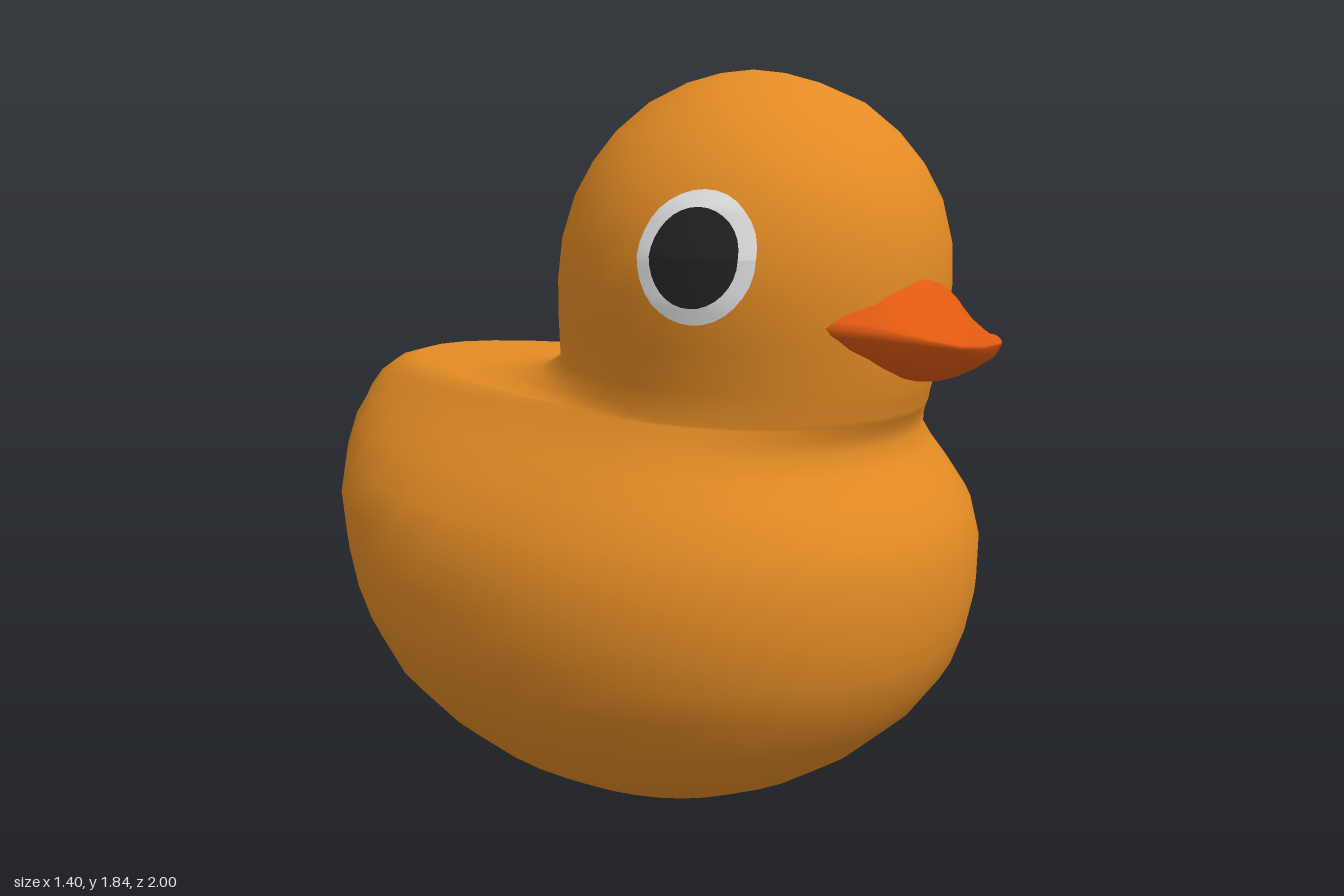
import * as THREE from 'three';

const mat = (name, color, side = THREE.FrontSide) => {
  const m = new THREE.MeshStandardMaterial({ color, side });
  m.name = name;
  return m;
};

// Skin a list of closed cross-sections, each an array of [x, y, z]
function loft(rings) {
  const n = rings[0].length, index = [];
  for (let i = 0; i < rings.length - 1; i++) {
    for (let j = 0; j < n; j++) {
      const k = (j + 1) % n, a = i * n + j, b = i * n + k;
      index.push(a, b, b + n, a, b + n, a + n);
    }
  }
  const g = new THREE.BufferGeometry();
  g.setAttribute('position', new THREE.Float32BufferAttribute(rings.flat(2), 3));
  g.setIndex(index);
  g.computeVertexNormals();
  return g;
}

// Level sections: y, half width, z front, z back, z of widest point, dip at the rear
const BODY = [
  [0.005, 0, -0.03, -0.03, -0.03], [0.02, 0.17, 0.2, -0.22, -0.02],
  [0.06, 0.29, 0.37, -0.4, -0.01], [0.13, 0.41, 0.51, -0.555, 0],
  [0.21, 0.505, 0.63, -0.66, 0], [0.32, 0.605, 0.75, -0.765, 0.01],
  [0.43, 0.662, 0.83, -0.84, 0.03], [0.52, 0.69, 0.86, -0.885, 0.05],
  [0.62, 0.7, 0.88, -0.93, 0.07], [0.73, 0.692, 0.88, -0.97, 0.1],
  [0.83, 0.65, 0.855, -0.99, 0.14], [0.91, 0.58, 0.795, -1, 0.2],
  [0.965, 0.52, 0.755, -0.985, 0.24], [1.01, 0.47, 0.735, -0.955, 0.27],
  [1.045, 0.44, 0.745, -0.9, 0.29],
];
const NECK = [
  [1.07, 0.42, 0.758, -0.81, 0.3], [1.075, 0.417, 0.762, -0.6, 0.3, 0.035],
  [1.085, 0.415, 0.765, -0.4, 0.31, 0.02], [1.105, 0.412, 0.77, -0.26, 0.31],
];
const HEAD = [
  [1.15, 0.41, 0.785, -0.17, 0.32], [1.25, 0.43, 0.8, -0.16, 0.32],
  [1.35, 0.446, 0.81, -0.15, 0.33], [1.45, 0.445, 0.805, -0.13, 0.33],
  [1.55, 0.418, 0.78, -0.095, 0.33], [1.63, 0.375, 0.735, -0.05, 0.33],
  [1.7, 0.32, 0.675, 0.005, 0.33], [1.765, 0.24, 0.595, 0.08, 0.33],
  [1.81, 0.15, 0.485, 0.17, 0.325], [1.832, 0.075, 0.4, 0.25, 0.325],
  [1.84, 0, 0.325, 0.325, 0.325],
];

function levelRing([y, w, front, back, wide, dip = 0]) {
  return Array.from({ length: 36 }, (_, j) => {
    const a = (j / 36) * Math.PI * 2, c = Math.cos(a);
    const z = wide + c * (c > 0 ? front - wide : wide - back);
    return [w * Math.sin(a), y - dip * Math.max(0, -c) ** 3, z];
  });
}

// Half width of the head at a given height and depth
function headX(y, z) {
  const i = HEAD.findIndex((r) => r[0] > y);
  const p = HEAD[i - 1], q = HEAD[i], t = (y - p[0]) / (q[0] - p[0]);
  const [, w, front, back, wide] = p.map((v, k) => v + (q[k] - v) * t);
  const d = (z - wide) / (z > wide ? front - wide : wide - back);
  return w * Math.sqrt(Math.max(0, 1 - d * d));
}

// Thin elliptical patch following the side of the head
function eyePatch(inner, outer, side) {
  const g = new THREE.RingGeometry(inner, outer, 32, 4);
  const p = g.attributes.position;
  for (let i = 0; i < p.count; i++) {
    const y = 1.447 + p.getY(i) * 1.13, z = 0.495 - side * p.getX(i);
    p.setXYZ(i, side * (headX(y, z) + 0.007), y, z);
  }
  g.computeVertexNormals();
  return g;
}

// Beak sections: z, half width, top, bottom, height of the side corner
const BEAK = [
  [0.66, 0.255, 1.42, 1.17, 1.3], [0.75, 0.238, 1.415, 1.165, 1.3],
  [0.8, 0.195, 1.4, 1.162, 1.295], [0.85, 0.15, 1.335, 1.168, 1.285],
  [0.9, 0.112, 1.3, 1.185, 1.275], [0.95, 0.075, 1.288, 1.212, 1.265],
  [0.985, 0.04, 1.288, 1.236, 1.265], [1, 0, 1.268, 1.268, 1.268],
];
function beakRing([z, w, top, bottom, mid]) {
  return Array.from({ length: 24 }, (_, j) => {
    const a = (j / 24) * Math.PI * 2, c = Math.cos(a), s = Math.sin(a);
    const h = s > 0 ? top - mid : mid - bottom;
    return [w * Math.sign(c) * Math.abs(c) ** 1.5, mid + h * Math.sign(s) * Math.abs(s) ** 1.5, z];
  });
}

export function createModel() {
  const group = new THREE.Group();
  group.name = 'bathDuck';
  const add = (name, geometry, material) => {
    const m = new THREE.Mesh(geometry, material);
    m.name = name;
    group.add(m);
  };
  const yellow = mat('duckYellow', 0xe38b24);
  const orange = mat('beakOrange', 0xe05a10);
  const white = mat('eyeWhite', 0xe6e6e6, THREE.DoubleSide);
  const black = mat('pupilBlack', 0x232323, THREE.DoubleSide);

  // Body, tail, neck and head flow into one skin
  add('bodyAndHead', loft([...BODY, ...NECK, ...HEAD].map(levelRing)), yellow);
  add('beak', loft(BEAK.map(beakRing)), orange);

  // Eyes
  for (const side of [1, -1]) {
    const label = side > 0 ? 'left' : 'right';
    add(label + 'EyeWhite', eyePatch(0.095, 0.127, side), white);
    add(label + 'Pupil', eyePatch(0, 0.095, side), black);
  }
  return group;
}
